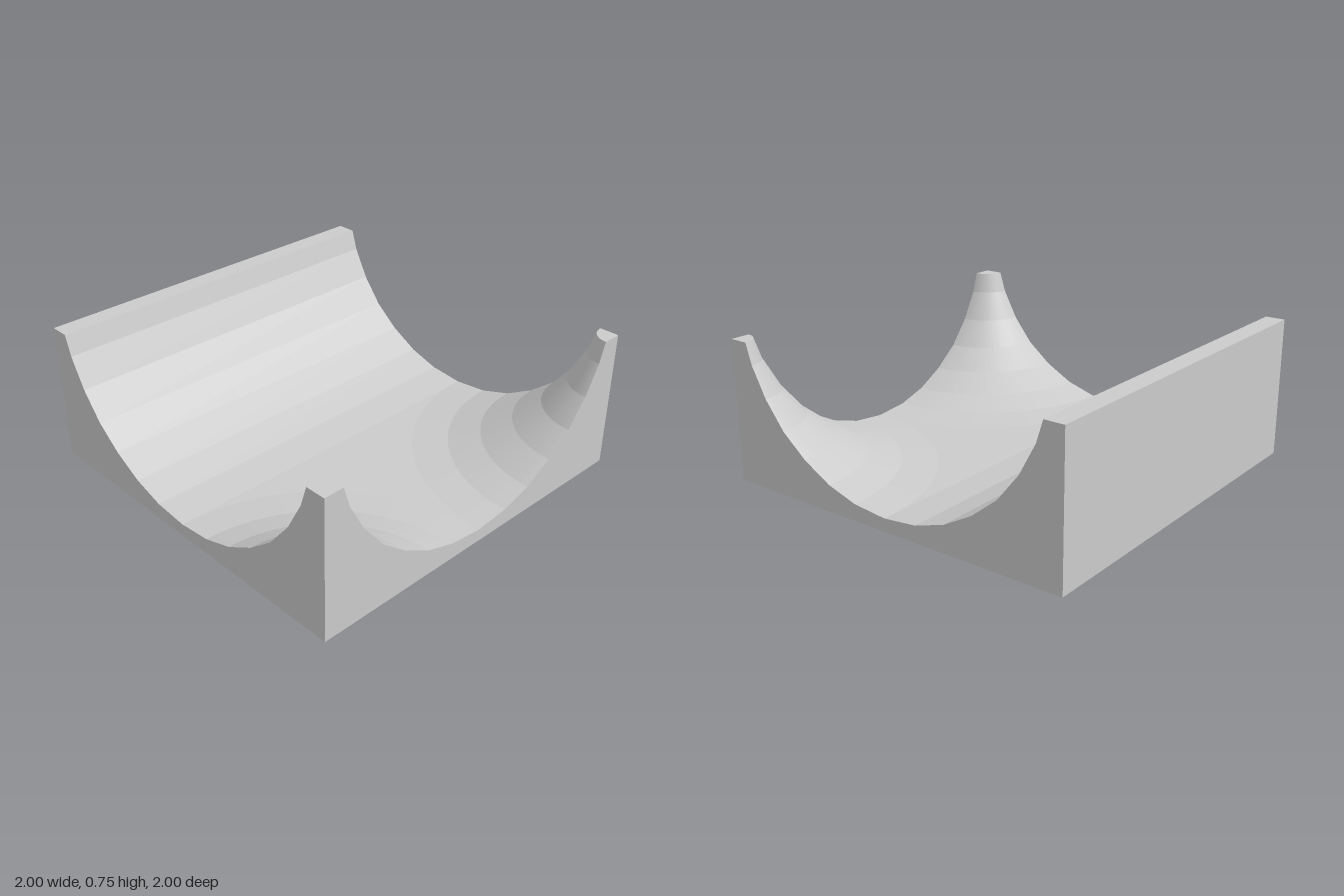
import * as THREE from 'three';

// Bank profile: [distance from the tile edge, height]
const PROFILE = [
  [0, 0.75], [0.105, 0.75], [0.14, 0.64], [0.225, 0.483], [0.34, 0.34],
  [0.48, 0.228], [0.64, 0.14], [0.81, 0.087], [1, 0.068],
];
const FLOOR = 0.068;
const ARC_STEPS = 24;

export function createModel() {
  const group = new THREE.Group();
  const material = new THREE.MeshStandardMaterial({ color: 0xcccccc, flatShading: true });
  const add = (name, geometry) => {
    const mesh = new THREE.Mesh(geometry, material);
    mesh.name = name;
    group.add(mesh);
    return mesh;
  };

  // Straight bank along the back: a plane whose rows follow the profile
  const bank = new THREE.PlaneGeometry(2, 1, 1, PROFILE.length - 1);
  const pos = bank.attributes.position;
  for (let i = 0; i < pos.count; i++) {
    const [r, h] = PROFILE[Math.floor(i / 2)];
    pos.setXYZ(i, pos.getX(i), h, -1 + r);
  }
  bank.computeVertexNormals();
  add('backBank', bank);

  // Quarter-round banks at the two front corners
  const outline = PROFILE.map(([r, h]) => new THREE.Vector2(r, h)).reverse();
  for (const side of [-1, 1]) {
    const start = side < 0 ? Math.PI / 2 : Math.PI;
    const corner = new THREE.LatheGeometry(outline, ARC_STEPS, start, Math.PI / 2);
    add(side < 0 ? 'rightCornerBank' : 'leftCornerBank', corner).position.set(side, 0, 1);
  }

  // Flat floor between the banks
  const floor = new THREE.Shape();
  floor.moveTo(-1, 0);
  floor.absarc(-1, -1, 1, Math.PI / 2, 0, true);
  floor.absarc(1, -1, 1, Math.PI, Math.PI / 2, true);
  floor.closePath();
  add('channelFloor', new THREE.ShapeGeometry(floor, ARC_STEPS / 2)
    .rotateX(-Math.PI / 2).translate(0, FLOOR, 0));

  // Cut faces on the three open sides
  const wall = new THREE.Shape([
    new THREE.Vector2(-1, 0),
    new THREE.Vector2(1, 0),
    ...PROFILE.map(([r, h]) => new THREE.Vector2(1 - r, h)),
    ...PROFILE.slice(0, -1).reverse().map(([r, h]) => new THREE.Vector2(r - 1, h)),
  ]);
  const openSides = { frontWall: 0, leftWall: Math.PI / 2, rightWall: -Math.PI / 2 };
  for (const [name, angle] of Object.entries(openSides)) {
    add(name, new THREE.ShapeGeometry(wall).translate(0, 0, 1).rotateY(angle));
  }

  // Solid back and underside
  add('backWall', new THREE.PlaneGeometry(2, 0.75).rotateY(Math.PI).translate(0, 0.375, -1));
  add('base', new THREE.PlaneGeometry(2, 2).rotateX(Math.PI / 2));

  return group;
}
